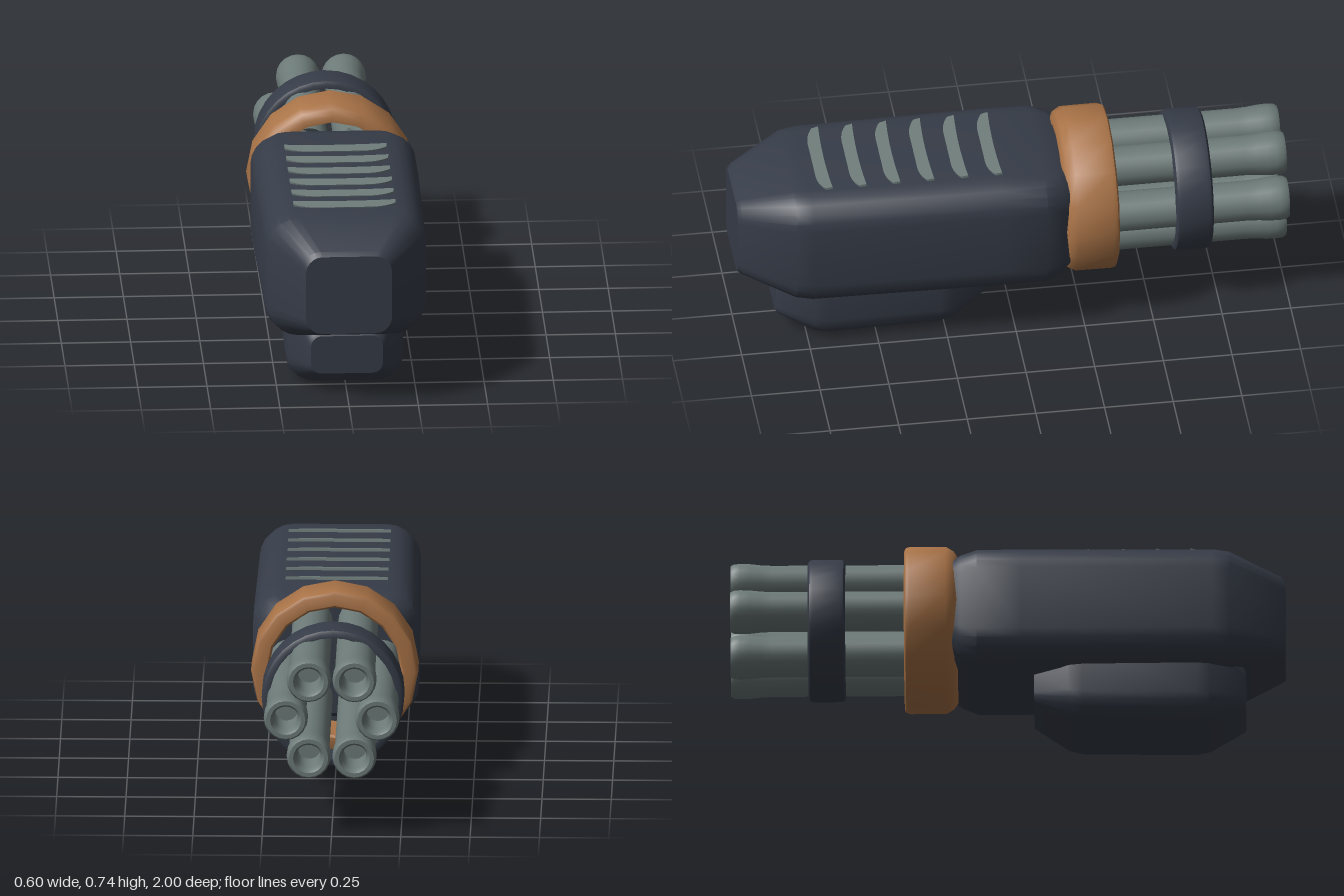
import * as THREE from 'three';
import { toCreasedNormals } from 'three/addons/utils/BufferGeometryUtils.js';

const AXIS_Y = 0.438;

// Rounded-rectangle outline, counter-clockwise seen from +z
function outline({ z, hx, lo, hi, r }, steps = 5) {
  const cy = (lo + hi) / 2, hy = (hi - lo) / 2, pts = [];
  for (const [sx, sy, start] of [[1, 1, 0], [-1, 1, 1], [-1, -1, 2], [1, -1, 3]]) {
    for (let i = 0; i <= steps; i++) {
      const a = (start + i / steps) * Math.PI / 2;
      pts.push([sx * (hx - r) + r * Math.cos(a), cy + sy * (hy - r) + r * Math.sin(a), z]);
    }
  }
  return pts;
}

// Skin between outlines ordered from back to front, with both ends capped
function loft(sections, crease = 0.45) {
  const rings = sections.map((s) => outline(s));
  const n = rings[0].length, pos = [], index = [];
  rings.forEach((ring) => ring.forEach((p) => pos.push(...p)));
  for (let k = 0; k < rings.length - 1; k++) {
    for (let i = 0; i < n; i++) {
      const j = (i + 1) % n, a = k * n, b = a + n;
      index.push(a + i, a + j, b + j, a + i, b + j, b + i);
    }
  }
  const last = (rings.length - 1) * n;
  for (let i = 1; i < n - 1; i++) {
    index.push(0, i + 1, i, last, last + i, last + i + 1);
  }
  const g = new THREE.BufferGeometry();
  g.setAttribute('position', new THREE.Float32BufferAttribute(pos, 3));
  g.setIndex(index);
  return toCreasedNormals(g, crease);
}

// Turned part along the barrel axis; profile is [radius, distance toward -z]
function turned(profile, segments, crease = 0.7) {
  const g = new THREE.LatheGeometry(profile.map(([r, d]) => new THREE.Vector2(r, d)), segments);
  g.rotateX(-Math.PI / 2);
  return toCreasedNormals(g, crease);
}

export function createModel() {
  const group = new THREE.Group();
  const mat = (name, color) => new THREE.MeshStandardMaterial({ name, color });
  const dark = mat('dark blue grey', 0x363c48);
  const steel = mat('grey green steel', 0x6c7a78);
  const copper = mat('copper', 0xa97347);

  const add = (name, geometry, material, x = 0, y = 0, z = 0) => {
    const mesh = new THREE.Mesh(geometry, material);
    mesh.name = name;
    mesh.position.set(x, y, z);
    group.add(mesh);
    return mesh;
  };

  // Main housing with a tapered front
  add('housing', loft([
    { z: -0.2, hx: 0.255, lo: 0.235, hi: 0.635, r: 0.11 },
    { z: -0.17, hx: 0.275, lo: 0.215, hi: 0.648, r: 0.11 },
    { z: -0.11, hx: 0.299, lo: 0.2, hi: 0.658, r: 0.11 },
    { z: 0.05, hx: 0.299, lo: 0.199, hi: 0.66, r: 0.11 },
    { z: 0.74, hx: 0.291, lo: 0.202, hi: 0.66, r: 0.11 },
    { z: 0.8, hx: 0.28, lo: 0.208, hi: 0.655, r: 0.11 },
    { z: 0.985, hx: 0.168, lo: 0.272, hi: 0.588, r: 0.065 },
    { z: 1.0, hx: 0.155, lo: 0.28, hi: 0.573, r: 0.06 },
  ]), dark);

  // Box slung under the housing, tapered at both ends
  add('underslungBox', loft([
    { z: 0.095, hx: 0.13, lo: 0.09, hi: 0.25, r: 0.04 },
    { z: 0.22, hx: 0.205, lo: 0.017, hi: 0.36, r: 0.09 },
    { z: 0.27, hx: 0.212, lo: 0.007, hi: 0.36, r: 0.09 },
    { z: 0.68, hx: 0.212, lo: 0.002, hi: 0.36, r: 0.09 },
    { z: 0.73, hx: 0.205, lo: 0.01, hi: 0.34, r: 0.09 },
    { z: 0.85, hx: 0.14, lo: 0.072, hi: 0.235, r: 0.045 },
    { z: 0.858, hx: 0.13, lo: 0.08, hi: 0.222, r: 0.04 },
  ]), dark);

  // Tilted cooling louvres on top
  const louvre = new THREE.Shape();
  louvre.moveTo(-0.185, 0.025);
  louvre.quadraticCurveTo(0, 0.012, 0.185, 0.025);
  louvre.lineTo(0.183, 0);
  louvre.quadraticCurveTo(0.15, -0.024, 0.1, -0.026);
  louvre.lineTo(-0.1, -0.026);
  louvre.quadraticCurveTo(-0.15, -0.024, -0.183, 0);
  louvre.closePath();
  const louvreGeo = new THREE.ExtrudeGeometry(louvre, { depth: 0.009, bevelEnabled: false });
  louvreGeo.rotateX(-Math.PI / 2);
  for (let i = 0; i < 6; i++) {
    add('louvre', louvreGeo, steel, 0, 0.659, 0.065 + i * 0.1235).rotation.x = 0.2;
  }

  // Copper collar joining the housing and barrels
  add('collar', turned([
    [0.24, 0.18], [0.262, 0.18], [0.285, 0.195], [0.301, 0.222], [0.302, 0.352],
    [0.298, 0.367], [0.288, 0.373], [0.248, 0.373], [0.24, 0.365], [0.24, 0.18],
  ], 16), copper, 0, AXIS_Y);

  // Clamp band around the barrels
  add('barrelBand', turned([
    [0.228, 0.585], [0.243, 0.585], [0.254, 0.592], [0.257, 0.605], [0.257, 0.702],
    [0.254, 0.714], [0.243, 0.721], [0.228, 0.721], [0.228, 0.585],
  ], 32), dark, 0, AXIS_Y);

  // Six flared barrels with hollow muzzles
  const barrelGeo = turned([
    [0.0725, 0.19], [0.0725, 0.85], [0.0745, 0.89], [0.079, 0.93], [0.08, 0.965],
    [0.078, 0.988], [0.071, 1], [0.056, 1], [0.048, 0.99], [0.043, 0.965],
    [0.042, 0.86], [0, 0.86],
  ], 20);
  for (let i = 0; i < 6; i++) {
    const a = i * Math.PI / 3;
    add('barrel', barrelGeo, steel, 0.165 * Math.cos(a), AXIS_Y + 0.165 * Math.sin(a));
  }

  return group;
}
